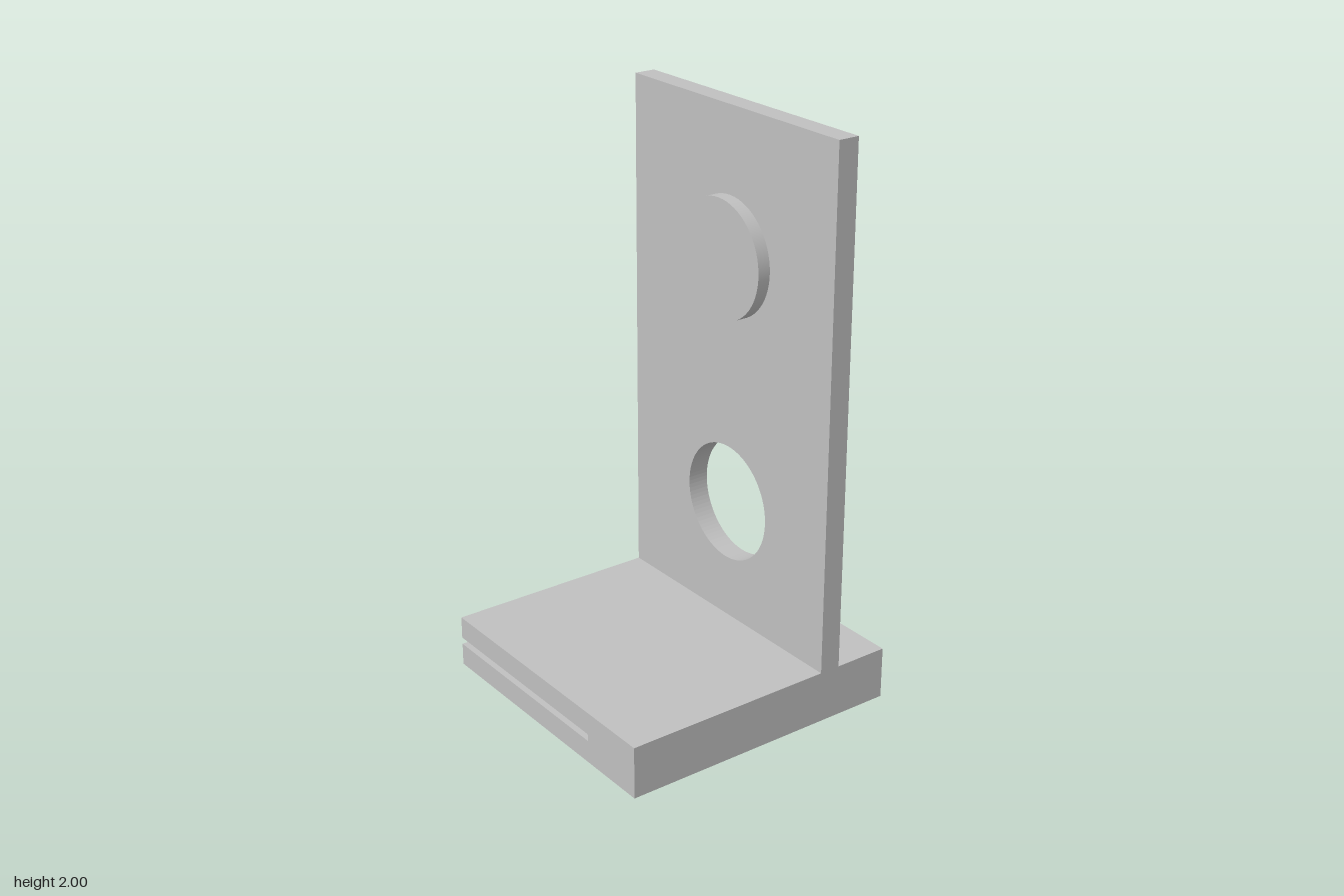
import * as THREE from 'three';

const HALF = 0.517;      // half width and depth of the base
const BASE_TOP = 0.185;
const PLATE_X0 = 0.244, PLATE_X1 = 0.32;

// Extrudes a side profile (shape x = -z, shape y = y) from x0 to x1
function extrudeAlongX(shape, x0, x1) {
  const geometry = new THREE.ExtrudeGeometry(shape, {
    depth: x1 - x0, bevelEnabled: false, curveSegments: 48,
  });
  geometry.rotateY(Math.PI / 2);
  geometry.translate(x0, 0, 0);
  return geometry;
}

function polygon(points) {
  return new THREE.Shape(points.map(([x, y]) => new THREE.Vector2(x, y)));
}

export function createModel() {
  const group = new THREE.Group();
  const grey = new THREE.MeshStandardMaterial({ color: 0xc0c0c0 });
  grey.name = 'light grey';

  const add = (name, geometry) => {
    const mesh = new THREE.Mesh(geometry, grey);
    mesh.name = name;
    group.add(mesh);
    return mesh;
  };

  // Square base with a thin slot cut in from the back
  const base = polygon([
    [-HALF, 0], [HALF, 0], [HALF, 0.08], [-0.26, 0.08],
    [-0.26, 0.105], [HALF, 0.105], [HALF, BASE_TOP], [-HALF, BASE_TOP],
  ]);
  add('slottedBase', extrudeAlongX(base, -HALF, HALF));

  // Upright plate with a round through hole
  const plate = polygon([[-HALF, BASE_TOP], [HALF, BASE_TOP], [HALF, 2], [-HALF, 2]]);
  const hole = new THREE.Path();
  hole.absarc(0, 0.615, 0.209, 0, Math.PI * 2, true);
  plate.holes.push(hole);
  add('uprightPlate', extrudeAlongX(plate, PLATE_X0, PLATE_X1));

  // Round boss standing out on both sides of the plate
  const bossX0 = 0.198, bossX1 = 0.383;
  const boss = new THREE.CylinderGeometry(0.207, 0.207, bossX1 - bossX0, 64);
  boss.rotateZ(Math.PI / 2);
  add('roundBoss', boss).position.set((bossX0 + bossX1) / 2, 1.497, 0);

  return group;
}
